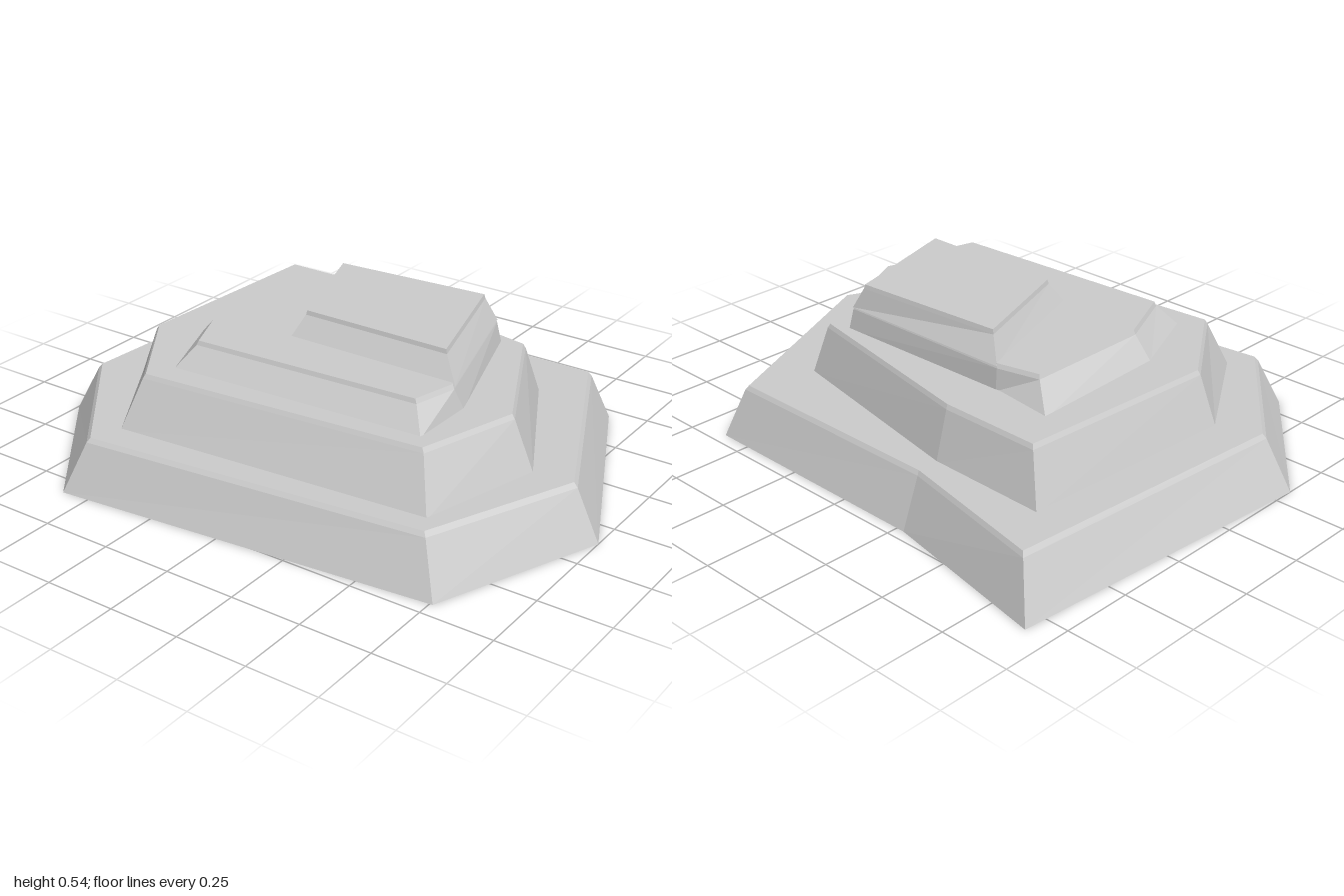
import * as THREE from 'three';

const material = new THREE.MeshStandardMaterial({ color: 0xcccccc, flatShading: true });

// Flat polygon cap at height y, facing up or down
function addCap(out, ring, y, up) {
  const pts = ring.map(([x, z]) => new THREE.Vector2(x, z));
  for (const [a, b, c] of THREE.ShapeUtils.triangulateShape(pts, [])) {
    const A = pts[a], B = pts[b], C = pts[c];
    const facesDown = (B.x - A.x) * (C.y - A.y) - (B.y - A.y) * (C.x - A.x) > 0;
    const tri = facesDown === up ? [A, C, B] : [A, B, C];
    for (const p of tri) out.push(p.x, y, p.y);
  }
}

// Rock ledge: sloped wall between two outlines, a narrow worn rim, and flat caps
function ledge(name, y0, y1, base, top) {
  const n = base.length;
  const cx = top.reduce((s, p) => s + p[0], 0) / n;
  const cz = top.reduce((s, p) => s + p[1], 0) / n;
  const rim = top.map(([x, z]) => [cx + (x - cx) * 0.985, cz + (z - cz) * 0.985]);
  const rings = [[base, y0], [top, y1 - 0.015], [rim, y1]];
  const out = [];
  for (let k = 0; k < 2; k++) {
    const [lo, yl] = rings[k], [hi, yh] = rings[k + 1];
    for (let i = 0; i < n; i++) {
      const j = (i + 1) % n;
      const a = [lo[i][0], yl, lo[i][1]], b = [lo[j][0], yl, lo[j][1]];
      const c = [hi[j][0], yh, hi[j][1]], d = [hi[i][0], yh, hi[i][1]];
      out.push(...a, ...d, ...b, ...b, ...d, ...c);
    }
  }
  addCap(out, base, y0, false);
  addCap(out, rim, y1, true);
  const geometry = new THREE.BufferGeometry();
  geometry.setAttribute('position', new THREE.Float32BufferAttribute(out, 3));
  geometry.computeVertexNormals();
  const mesh = new THREE.Mesh(geometry, material);
  mesh.name = name;
  return mesh;
}

export function createModel() {
  const group = new THREE.Group();
  group.name = 'steppedRock';

  // Outlines run from the back left corner of the plan, as [x, z]
  group.add(ledge('baseLedge', 0, 0.187,
    [[-0.91, -0.83], [-0.28, -0.71], [0.62, -0.705], [1, 0.11], [0.76, 0.695], [-0.6, 0.825], [-1, 0.325]],
    [[-0.835, -0.76], [-0.28, -0.645], [0.57, -0.645], [0.915, 0.107], [0.69, 0.63], [-0.545, 0.755], [-0.91, 0.3]]));

  group.add(ledge('middleLedge', 0.18, 0.366,
    [[-0.71, -0.57], [-0.275, -0.56], [0.49, -0.41], [0.765, 0.12], [0.645, 0.555], [-0.5, 0.64], [-0.755, 0.235]],
    [[-0.645, -0.517], [-0.275, -0.513], [0.45, -0.37], [0.69, 0.12], [0.58, 0.475], [-0.46, 0.56], [-0.69, 0.225]]));

  group.add(ledge('upperLedge', 0.36, 0.453,
    [[-0.55, -0.36], [-0.31, -0.33], [0.37, -0.342], [0.535, 0.17], [0.53, 0.415], [-0.41, 0.465], [-0.53, 0.17]],
    [[-0.46, -0.29], [-0.31, -0.325], [0.355, -0.333], [0.515, 0.2], [0.475, 0.355], [-0.36, 0.4], [-0.46, 0.17]]));

  group.add(ledge('summitBlock', 0.445, 0.535,
    [[-0.31, -0.325], [0.355, -0.335], [0.515, 0.195], [-0.13, 0.195]],
    [[-0.25, -0.278], [0.315, -0.318], [0.45, 0.143], [-0.1, 0.143]]));

  return group;
}
